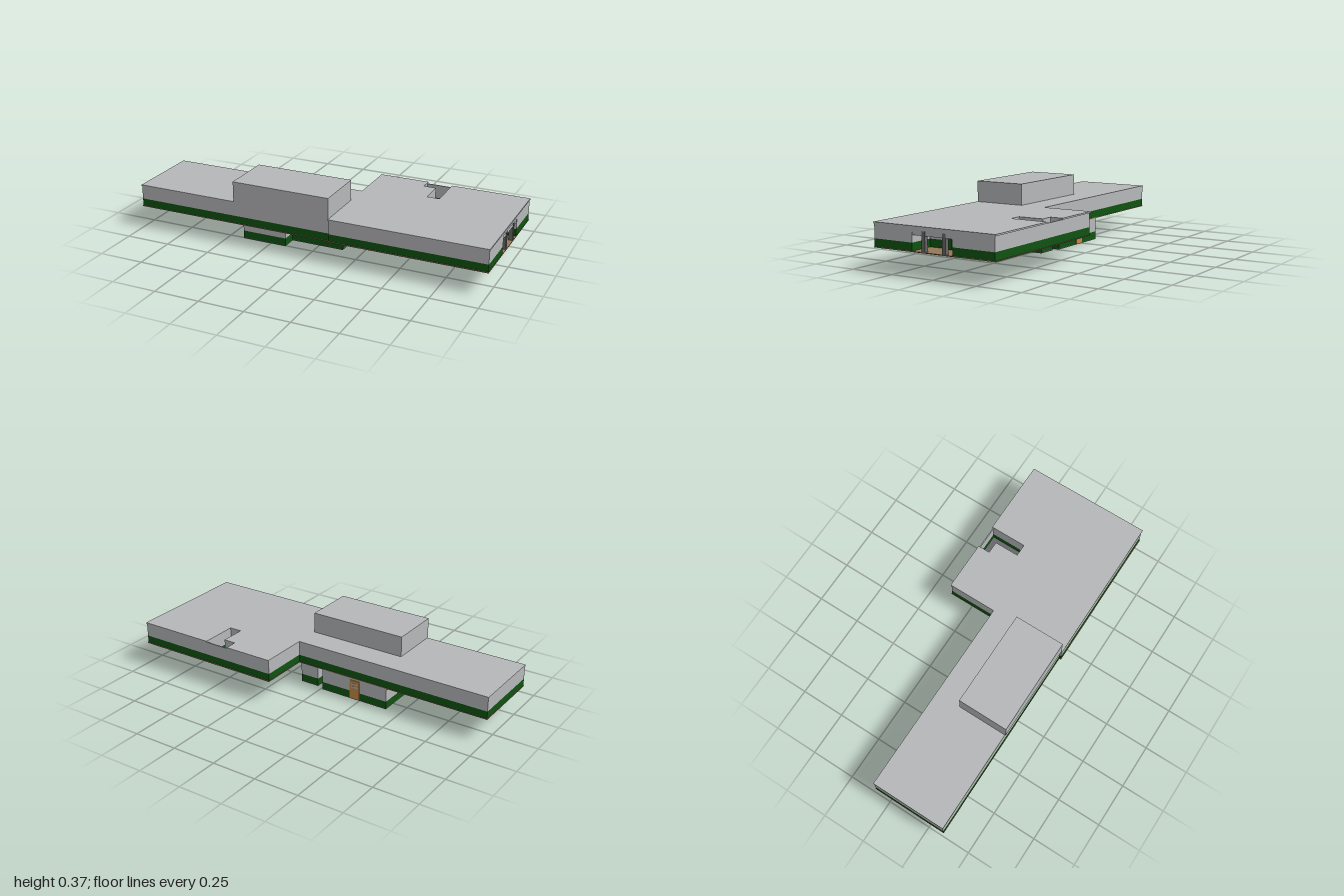
import * as THREE from 'three';

const paint = (name, color) => {
  const m = new THREE.MeshStandardMaterial({ color });
  m.name = name;
  return m;
};

export function createModel() {
  const model = new THREE.Group();
  model.name = 'building';
  const grey = paint('wall grey', 0xb6b7b9);
  const green = paint('dark green', 0x0f5210);
  const tan = paint('tan floor', 0x957757);
  const dark = paint('dark grey', 0x68686a);
  const wood = paint('door wood', 0xc48a45);

  // Plan outlines are lists of [x, z], extruded from y0 up to y1
  const trace = (path, pts) => {
    pts.forEach(([x, z], i) => (i ? path.lineTo(x, -z) : path.moveTo(x, -z)));
    path.closePath();
    return path;
  };
  const slab = (name, pts, y0, y1, mat, holes = []) => {
    const shape = trace(new THREE.Shape(), pts);
    holes.forEach((h) => shape.holes.push(trace(new THREE.Path(), h)));
    const geo = new THREE.ExtrudeGeometry(shape, { depth: y1 - y0, bevelEnabled: false });
    geo.rotateX(-Math.PI / 2).translate(0, y0, 0);
    const mesh = new THREE.Mesh(geo, mat);
    mesh.name = name;
    model.add(mesh);
  };
  const rect = (x0, x1, z0, z1) => [[x0, z1], [x1, z1], [x1, z0], [x0, z0]];
  const box = (name, x0, x1, y0, y1, z0, z1, mat) => slab(name, rect(x0, x1, z0, z1), y0, y1, mat);

  // Lower storey: stepped front, narrow L-shaped passage at the back
  const lower = [
    [-0.415, 0.255], [-0.16, 0.255], [-0.16, 0.17], [0.14, 0.17], [0.14, -0.06], [0.03, -0.06],
    [0.03, 0.08], [-0.15, 0.08], [-0.15, 0.03], [-0.01, 0.03], [-0.01, -0.078], [-0.415, -0.078],
  ];
  slab('lowerFloor', lower, 0, 0.004, dark);
  slab('lowerBaseBand', lower, 0.004, 0.045, green);
  slab('lowerWalls', lower, 0.045, 0.123, grey);
  box('lowerDoor', -0.25, -0.19, 0.004, 0.113, -0.082, -0.078, wood);
  for (const y of [0.07, 0.088]) {
    box('doorPane', -0.24, -0.2, y, y + 0.008, -0.083, -0.082, grey);
  }

  // Long wing
  box('wingFloor', -1, 0.14, 0.123, 0.127, -0.08, 0.35, tan);
  box('wingBaseBand', -0.998, 0.14, 0.127, 0.168, -0.078, 0.348, green);
  box('wingWalls', -0.998, 0.14, 0.168, 0.242, -0.078, 0.348, grey);
  box('wingRoof', -1, 0.14, 0.242, 0.25, -0.08, 0.35, grey);

  // Raised upper storey
  box('upperStorey', -0.415, 0.14, 0.25, 0.365, 0.067, 0.355, grey);

  // Hall with a recessed entrance on its left end and an L-shaped light well
  const hall = [
    [0.142, 0.356], [0.998, 0.356], [0.998, 0.123], [0.86, 0.123],
    [0.86, -0.115], [0.998, -0.115], [0.998, -0.356], [0.142, -0.356],
  ];
  const well = [
    [0.42, -0.35], [0.56, -0.35], [0.56, -0.15], [0.49, -0.15], [0.49, -0.29], [0.42, -0.29],
  ];
  const roof = [
    [0.14, 0.36], [1, 0.36], [1, -0.36], [0.56, -0.36], [0.56, -0.15],
    [0.49, -0.15], [0.49, -0.29], [0.42, -0.29], [0.42, -0.36], [0.14, -0.36],
  ];
  box('hallFloor', 0.14, 1, 0.123, 0.127, -0.36, 0.36, tan);
  slab('hallBaseBand', hall, 0.127, 0.168, green, [well]);
  slab('hallWalls', hall, 0.168, 0.228, grey, [well]);
  slab('hallLintel', rect(0.142, 0.998, -0.356, 0.356), 0.228, 0.242, grey, [well]);
  slab('hallRoof', roof, 0.242, 0.25, grey);
  slab('wellFloor', well, 0.127, 0.131, dark);

  // Entrance: two pillars, a canopy beam and a low counter
  for (const z of [0.057, -0.065]) {
    box('entrancePillar', 0.975, 0.997, 0.127, 0.228, z - 0.01, z + 0.01, dark);
  }
  box('canopyBeam', 0.98, 0.995, 0.205, 0.228, -0.115, 0.123, grey);
  box('entranceScreen', 0.86, 0.875, 0.127, 0.19, -0.018, 0.022, green);
  return model;
}
